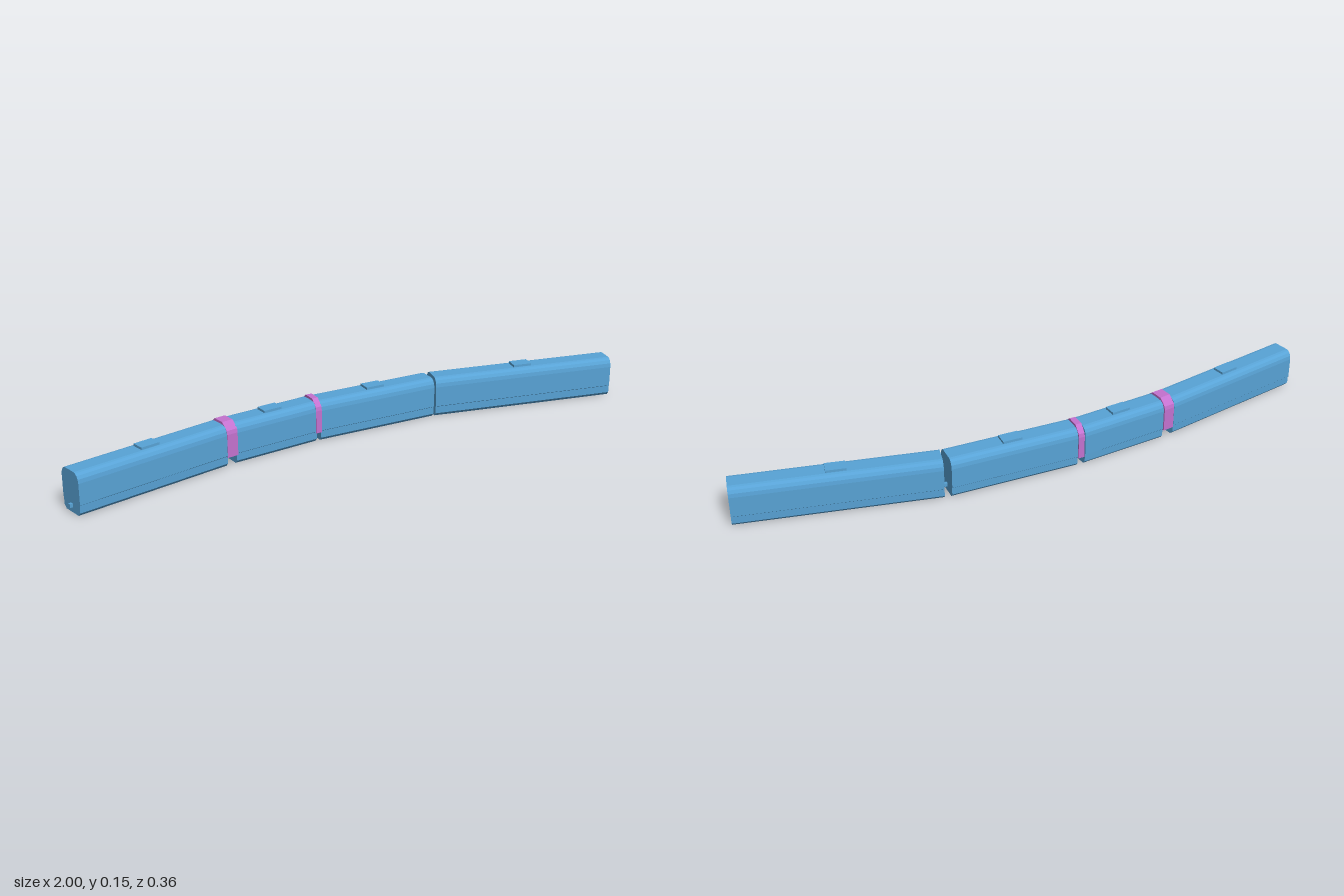
import * as THREE from 'three';

const blue = new THREE.MeshStandardMaterial({ color: 0x58a3d6 });
blue.name = 'body blue';
const violet = new THREE.MeshStandardMaterial({ color: 0xc472cf });
violet.name = 'gangway violet';

// Right half of each cross-section, [half width, height], bottom to top
const bodyProfile = [
  [0.034, 0], [0.044, 0.011], [0.0445, 0.036], [0.0465, 0.038], [0.0465, 0.107],
  [0.0445, 0.12], [0.039, 0.13], [0.032, 0.136], [0.024, 0.138],
];
const gangwayProfile = [
  [0.048, 0.032], [0.048, 0.11], [0.0455, 0.123], [0.033, 0.136], [0.021, 0.146],
];

// Mirrored section extruded along +x
function extrudeSection(half, length) {
  const left = half.map(([w, y]) => [-w, y]).reverse();
  const shape = new THREE.Shape([...half, ...left].map(([w, y]) => new THREE.Vector2(w, y)));
  return new THREE.ExtrudeGeometry(shape, { depth: length, bevelEnabled: false }).rotateY(Math.PI / 2);
}

// Group starting at plan point a with its x axis aimed at b
function span(name, a, b) {
  const g = new THREE.Group();
  g.name = name;
  g.position.set(a[0], 0, a[1]);
  g.rotation.y = Math.atan2(a[1] - b[1], b[0] - a[0]);
  g.userData.length = Math.hypot(b[0] - a[0], b[1] - a[1]);
  return g;
}

function addMesh(parent, name, geometry, material, x = 0, y = 0) {
  const mesh = new THREE.Mesh(geometry, material);
  mesh.name = name;
  mesh.position.set(x, y, 0);
  parent.add(mesh);
}

export function createModel() {
  const model = new THREE.Group();
  model.name = 'articulatedTrain';

  // Car centre lines in plan [x, z]; coupler flags for the rear and front ends
  const cars = [
    { a: [-0.99, -0.078], b: [-0.453, -0.13], rear: true },
    { a: [-0.414, -0.132], b: [-0.109, -0.129] },
    { a: [-0.088, -0.127], b: [0.343, -0.073], front: true },
    { a: [0.358, -0.069], b: [0.983, 0.136] },
  ];

  cars.forEach(({ a, b, rear, front }, i) => {
    const car = span(`car${i + 1}`, a, b);
    const length = car.userData.length;
    addMesh(car, 'carBody', extrudeSection(bodyProfile, length), blue);
    addMesh(car, 'roofUnit', new THREE.BoxGeometry(0.065, 0.012, 0.043), blue, length / 2, 0.14);
    const coupler = new THREE.BoxGeometry(0.012, 0.012, 0.01);
    if (rear) addMesh(car, 'rearCoupler', coupler, blue, -0.004, 0.024);
    if (front) addMesh(car, 'frontCoupler', coupler, blue, length + 0.004, 0.024);
    model.add(car);
  });

  // Bellows joining the first three cars
  for (let i = 0; i < 2; i++) {
    const joint = span(`gangway${i + 1}`, cars[i].b, cars[i + 1].a);
    addMesh(joint, 'bellows', extrudeSection(gangwayProfile, joint.userData.length), violet);
    model.add(joint);
  }
  return model;
}
